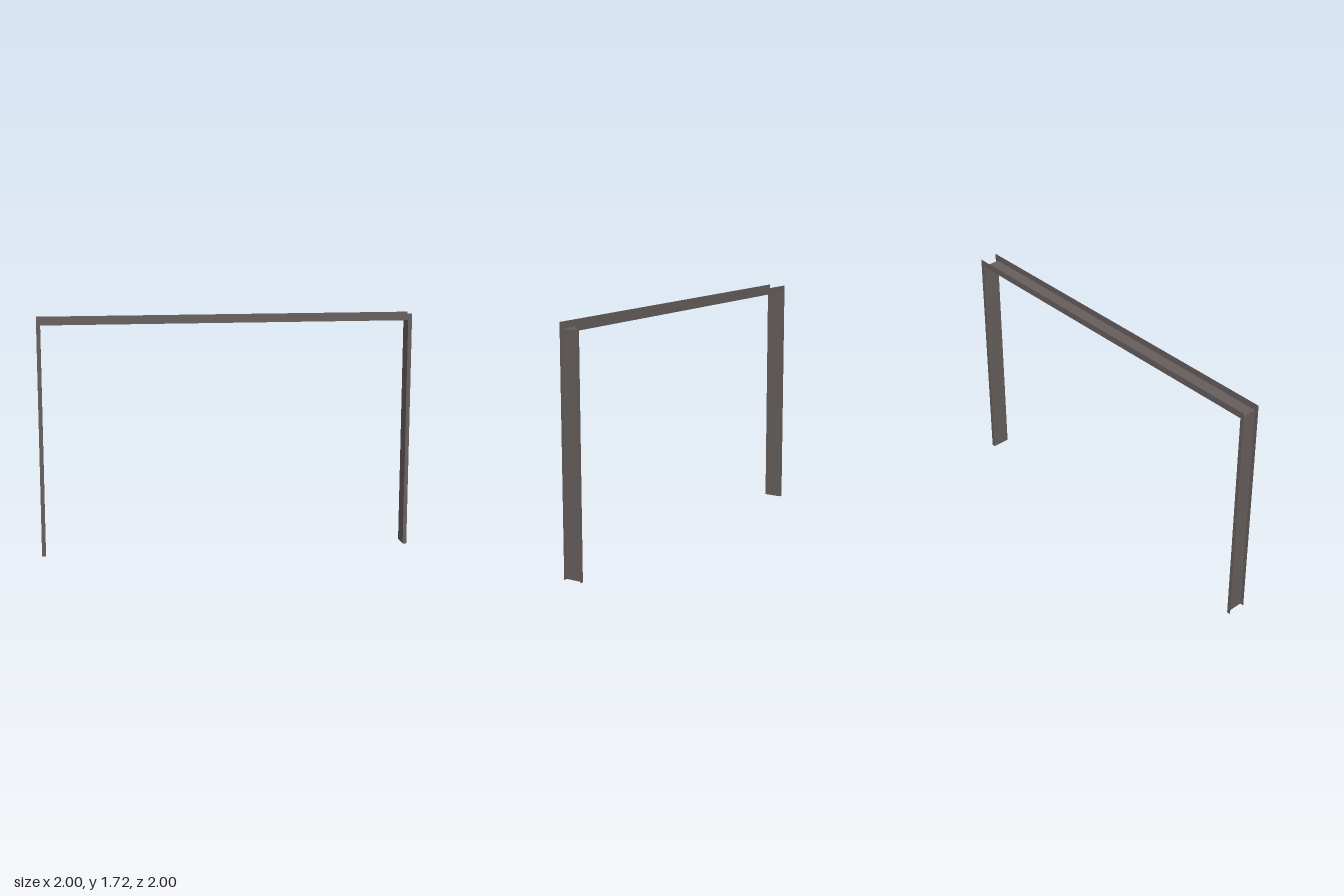
import * as THREE from 'three';

export function createModel() {
  const steel = new THREE.MeshStandardMaterial({ color: 0x655e5c, side: THREE.DoubleSide });
  steel.name = 'dark steel';

  // Sheet-metal dimensions, measured along and across the frame
  const halfSpan = 1.319; // centre to post web
  const lip = 0.028;      // depth of the post flanges
  const halfWidth = 0.067;
  const webY = 1.67;
  const topY = 1.718;

  const model = new THREE.Group();
  model.name = 'doorFrame';
  const frame = new THREE.Group();
  frame.name = 'channelFrame';
  frame.rotation.y = -Math.PI / 4; // the frame stands on the diagonal
  model.add(frame);

  function sheet(name, w, h, position, rotation = [0, 0, 0]) {
    const mesh = new THREE.Mesh(new THREE.PlaneGeometry(w, h), steel);
    mesh.name = name;
    mesh.position.set(...position);
    mesh.rotation.set(...rotation);
    frame.add(mesh);
  }

  // Top rail: an upward-opening channel
  sheet('railWeb', 2 * halfSpan, 2 * halfWidth, [0, webY, 0], [-Math.PI / 2, 0, 0]);
  for (const side of [-1, 1]) {
    sheet('railFlange', 2 * (halfSpan + lip), topY - webY,
      [0, (topY + webY) / 2, side * halfWidth], [0, side > 0 ? 0 : Math.PI, 0]);
  }

  // Posts: outward-opening channels
  for (const end of [-1, 1]) {
    sheet('postWeb', 2 * halfWidth, webY, [end * halfSpan, webY / 2, 0], [0, end * Math.PI / 2, 0]);
    for (const side of [-1, 1]) {
      sheet('postFlange', lip, webY,
        [end * (halfSpan + lip / 2), webY / 2, side * halfWidth], [0, side > 0 ? 0 : Math.PI, 0]);
    }
  }
  return model;
}
